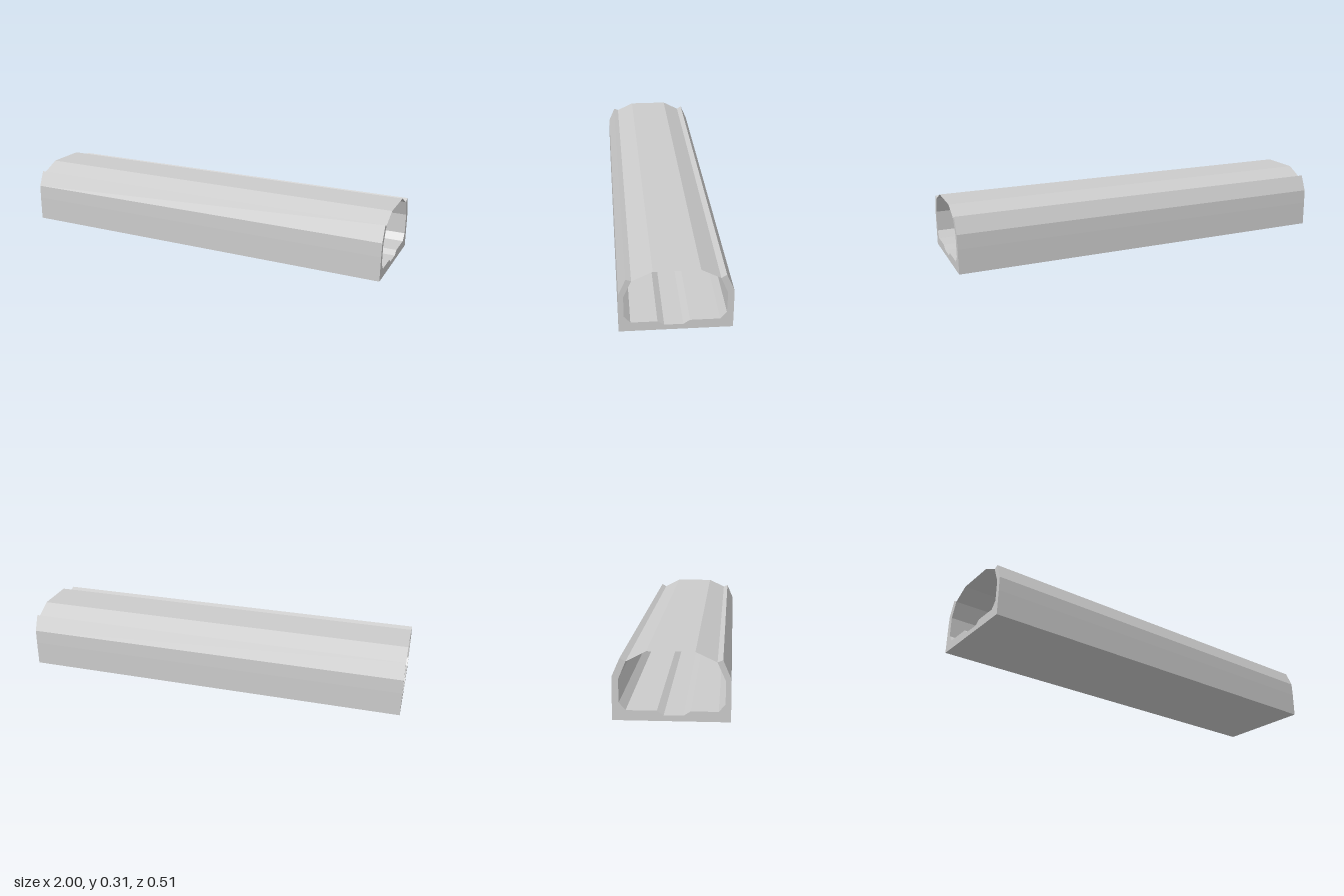
import * as THREE from 'three';

const LENGTH = 2;

// Channel cross-section as [z, y], front foot round to the back foot
const CHANNEL = [
  [0.256, 0], [0.256, 0.125], [0.254, 0.195], [0.22, 0.274], [0.196, 0.264],
  [0.232, 0.183], [0.232, 0.08], [0.203, 0.046], [0.083, 0.046], [0.053, 0.026],
  [-0.033, 0.026], [-0.062, 0.046], [-0.197, 0.046], [-0.226, 0.08], [-0.227, 0.183],
  [-0.194, 0.262], [-0.219, 0.277], [-0.254, 0.197], [-0.256, 0.125], [-0.256, 0],
];

// Thin cover cross-section as [z, y], front edge to back edge
const COVER = [[0.196, 0.264], [0.103, 0.308], [-0.106, 0.308], [-0.194, 0.262]];

// Solid bar along x from a closed [z, y] section
function extrudeAlongX(section) {
  const shape = new THREE.Shape(section.map(([z, y]) => new THREE.Vector2(-z, y)));
  const geometry = new THREE.ExtrudeGeometry(shape, { depth: LENGTH, bevelEnabled: false });
  return geometry.translate(0, 0, -LENGTH / 2).rotateY(Math.PI / 2);
}

// Open sheet along x from an open [z, y] section, with separate flat panels
function sheetAlongX(section) {
  const positions = [];
  const h = LENGTH / 2;
  for (let i = 0; i < section.length - 1; i++) {
    const [z0, y0] = section[i];
    const [z1, y1] = section[i + 1];
    positions.push(-h, y0, z0, h, y0, z0, h, y1, z1);
    positions.push(-h, y0, z0, h, y1, z1, -h, y1, z1);
  }
  const geometry = new THREE.BufferGeometry();
  geometry.setAttribute('position', new THREE.Float32BufferAttribute(positions, 3));
  geometry.computeVertexNormals();
  return geometry;
}

export function createModel() {
  const group = new THREE.Group();
  group.name = 'coveredChannel';

  // Floor with drain groove and bent side walls
  const channel = new THREE.Mesh(
    extrudeAlongX(CHANNEL),
    new THREE.MeshStandardMaterial({ color: 0xcccccc, flatShading: true }),
  );
  channel.name = 'channel';

  // Thin faceted cover between the wall tips
  const cover = new THREE.Mesh(
    sheetAlongX(COVER),
    new THREE.MeshStandardMaterial({ color: 0xcccccc, flatShading: true, side: THREE.DoubleSide }),
  );
  cover.name = 'cover';

  group.add(channel, cover);
  return group;
}
